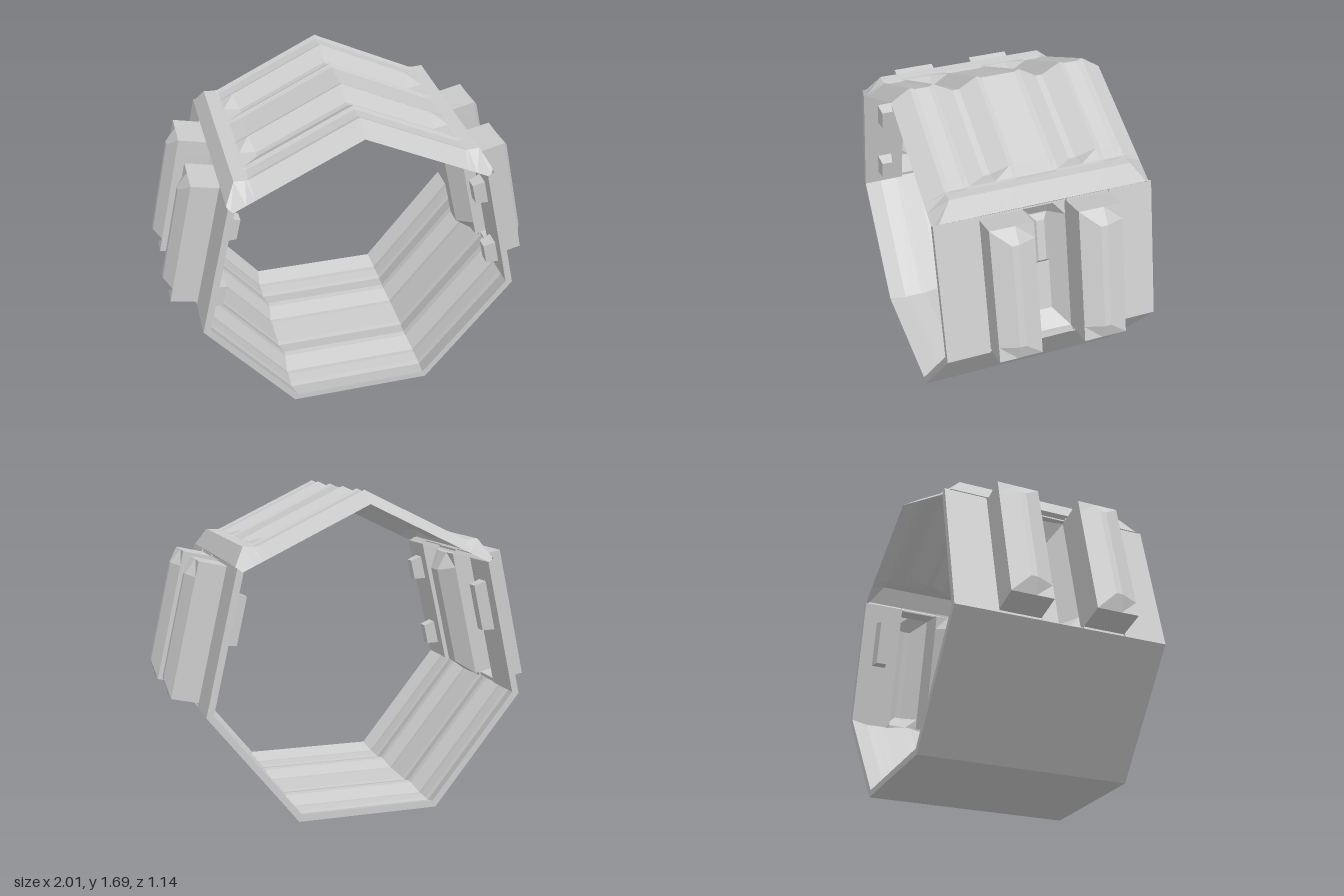
import * as THREE from 'three';

const STEP = (2 * Math.PI) / 7;          // angle between heptagon sides
const TAN = Math.tan(Math.PI / 7);
const CENTRE = 0.784, OUTER = 0.784, INNER = 0.749, HALF = 0.57;

const material = new THREE.MeshStandardMaterial({
  color: 0xcccccc, flatShading: true, side: THREE.DoubleSide,
});

// Skins a list of cross-sections; points are [outward, along, z] in panel space.
function skin(name, rows) {
  const n = rows[0].length, index = [];
  for (let r = 0; r < rows.length - 1; r++) {
    for (let i = 0; i < n - 1; i++) {
      const a = r * n + i, b = a + 1, c = a + n, d = c + 1;
      index.push(a, b, c, b, d, c);
    }
  }
  let geo = new THREE.BufferGeometry();
  geo.setAttribute('position', new THREE.Float32BufferAttribute(rows.flat(2), 3));
  geo.setIndex(index);
  geo = geo.toNonIndexed();
  geo.computeVertexNormals();
  const mesh = new THREE.Mesh(geo, material);
  mesh.name = name;
  return mesh;
}

// Side k of the heptagon: local x points outward, local y runs along the side.
function panel(name, k) {
  const g = new THREE.Group();
  g.name = name;
  g.position.y = CENTRE;
  g.rotation.z = k * STEP - Math.PI / 2;
  return g;
}

const mirrorZ = (half) => [...half, ...half.slice().reverse().map(([z, h]) => [-z, h])];

// Corrugated section with two valleys, as [z, outward] pairs
const ribs = (edge, ridge, flat, valley) => mirrorZ([
  [HALF, edge], [0.47, ridge], [0.44, flat], [0.37, flat], [0.345, ridge],
  [0.245, valley], [0.21, valley], [0.117, ridge], [0.09, flat],
]);

// Floor and lower sides: plain outside, ribbed inside
function lowerPanel(k) {
  const g = panel('lowerPanel', k);
  const section = [[HALF, OUTER], ...ribs(INNER, 0.779, 0.776, 0.751), [-HALF, OUTER], [HALF, OUTER]];
  g.add(skin('lowerShell', [-1, 1].map((s) => section.map(([z, h]) => [h, s * h * TAN, z]))));
  return g;
}

// Sloping roof: ribbed sheet with closed valley ends and a bevelled eave
function roofPanel() {
  const g = panel('roofPanel', 3);
  const open = ribs(0.753, 0.812, 0.803, 0.762);
  const closed = ribs(0.753, 0.812, 0.806, 0.812);
  const level = (h) => open.map(([z]) => [z, Math.abs(z) === HALF ? 0.753 : h]);
  const row = (section, t) => section.map(([z, h]) => [h, t ?? h * TAN, z]);
  const eave = level(0.787).map(([z, h]) => [h, -0.38, Math.abs(z) === 0.47 ? Math.sign(z) * 0.54 : z]);
  const inner = level(0.751).map(([z, h]) => [h, -0.365, z]);
  g.add(skin('roofSheet', [
    row(open), row(open, -0.155), row(closed, -0.225), row(level(0.818), -0.242),
    row(level(0.846), -0.292), eave, inner,
  ]));
  return g;
}

// Tapered block rising from outward distance a0 to a1
function block(name, a0, a1, t0, t1, z, halfZ, taper) {
  const ring = (a, d) => [[-1, 0], [1, 0], [1, 1], [-1, 1], [-1, 0]]
    .map(([s, e]) => [a, e ? t1 - d : t0 + d, z + s * (halfZ - d)]);
  const tip = Array.from({ length: 5 }, () => [a1, (t0 + t1) / 2, z]);
  return skin(name, [ring(a0, 0), ring(a1, taper), tip]);
}

// Upright side: two hollow hipped pods outside, a channel sunk between them
function sidePanel() {
  const g = panel('sidePanel', 2);
  const end = 0.357;
  const section = (base, eave, ridge, lip, floor) => mirrorZ([
    [0.34, base], [0.34, eave], [0.245, ridge], [0.21, ridge],
    [0.115, eave], [0.115, lip], [0.045, floor],
  ]);
  const rim = section(0.775, 0.775, 0.775, 0.765, 0.765);
  const mouth = section(0.775, 0.928, 0.928, 0.745, 0.737);
  const hip = section(0.775, 0.928, 0.968, 0.745, 0.663);
  const row = (s, t) => s.map(([z, h]) => [h, t, z]);
  g.add(skin('podsAndChannel', [
    row(rim, -0.377), row(rim, -end), row(mouth, -end), row(hip, -0.275),
    row(hip, 0.275), row(mouth, end), row(rim, end), row(rim, 0.377),
  ]));

  // Flat wall on either side of the pods
  for (const s of [-1, 1]) {
    const loop = [[0.34, OUTER], [HALF, OUTER], [HALF, INNER], [0.34, INNER], [0.34, OUTER]];
    g.add(skin('sideWall', [-1, 1].map((e) => loop.map(([z, h]) => [h, e * h * TAN, s * z]))));
  }

  // Raised key in the channel and small blocks on the inner wall
  g.add(block('channelKey', 0.663, 0.695, 0, 0.27, 0, 0.045, 0.024));
  g.add(block('innerBlockUpper', 0.75, 0.685, 0.14, 0.275, 0.45, 0.04, 0.01));
  g.add(block('innerBlockLower', 0.75, 0.685, -0.275, -0.14, 0.45, 0.04, 0.01));
  g.add(block('innerBlockLong', 0.75, 0.685, -0.02, 0.25, -0.45, 0.04, 0.01));
  return g;
}

export function createModel() {
  const model = new THREE.Group();
  model.name = 'corridorSection';
  for (const k of [-1, 0, 1]) model.add(lowerPanel(k));
  for (const side of [1, -1]) {
    const half = new THREE.Group();
    half.name = side > 0 ? 'leftHalf' : 'rightHalf';
    half.add(sidePanel(), roofPanel());
    half.scale.x = side;
    model.add(half);
  }
  return model;
}
